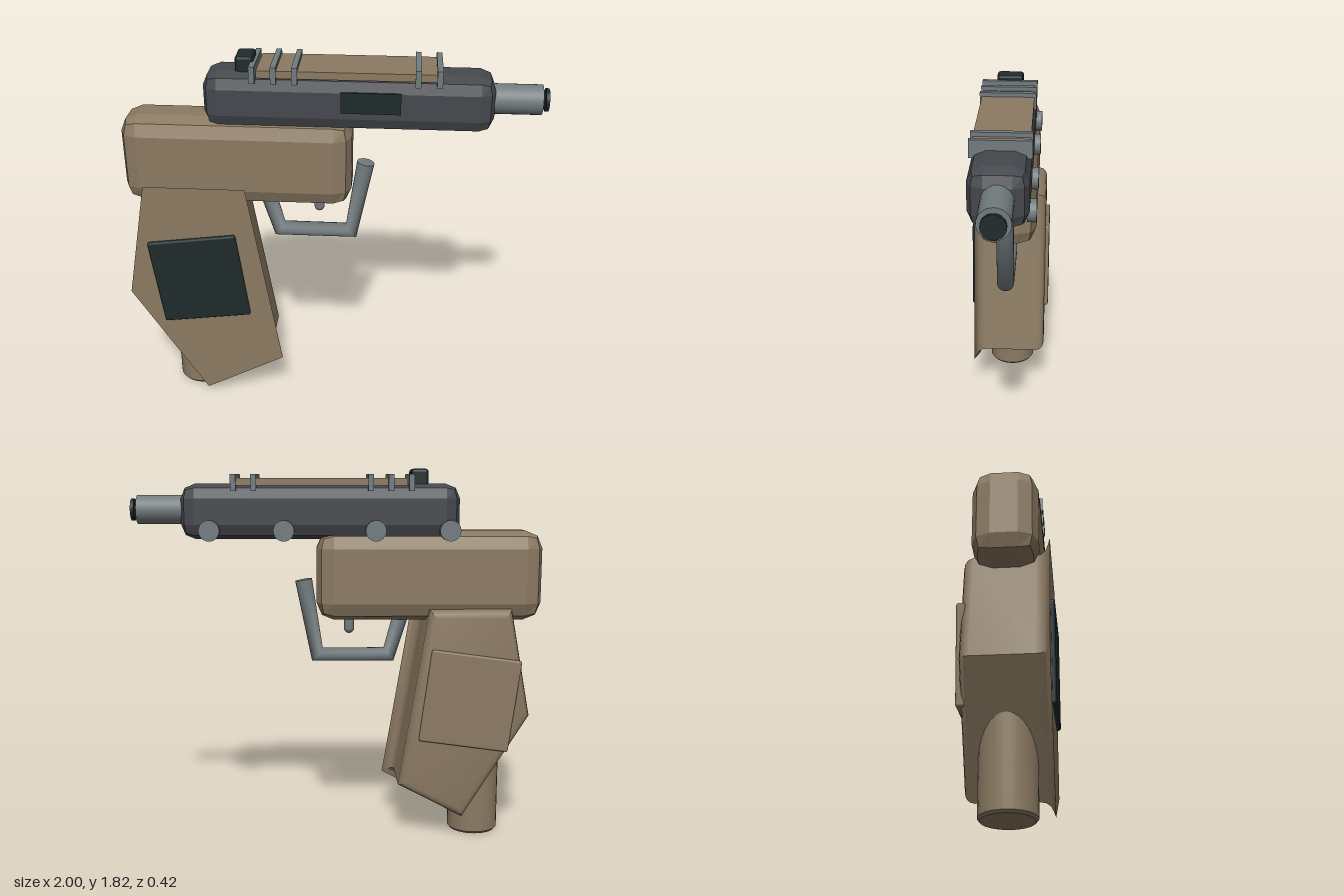
import * as THREE from 'three';
import { toCreasedNormals } from 'three/addons/utils/BufferGeometryUtils.js';
import { RoundedBoxGeometry } from 'three/addons/geometries/RoundedBoxGeometry.js';

const tan = new THREE.MeshStandardMaterial({ color: 0x8b7a62 });
const gunmetal = new THREE.MeshStandardMaterial({ color: 0x45484e });
const steel = new THREE.MeshStandardMaterial({ color: 0x727b7e });
const darkGreen = new THREE.MeshStandardMaterial({ color: 0x1f2b2c });
tan.name = 'tan';
gunmetal.name = 'gunmetal';
steel.name = 'steel';
darkGreen.name = 'darkGreen';

// Guard path: straight pieces with averaged directions at the corners
class BentPath extends THREE.Curve {
  constructor(points) { super(); this.points = points; }
  getPointAt(u) {
    return this.points[Math.round(u * (this.points.length - 1))].clone();
  }
  getTangentAt(u) {
    const p = this.points, n = p.length - 1, i = Math.round(u * n), t = new THREE.Vector3();
    if (i > 0) t.add(p[i].clone().sub(p[i - 1]).normalize());
    if (i < n) t.add(p[i + 1].clone().sub(p[i]).normalize());
    return t.normalize();
  }
}

// Moves every edge of a counter-clockwise outline inwards by d
function inset(points, d) {
  const n = points.length;
  return points.map((p, i) => {
    const a = p.clone().sub(points[(i + n - 1) % n]).normalize();
    const b = points[(i + 1) % n].clone().sub(p).normalize();
    const na = new THREE.Vector2(-a.y, a.x), nb = new THREE.Vector2(-b.y, b.x);
    return na.clone().add(nb).multiplyScalar(d / (1 + na.dot(nb))).add(p);
  });
}

// Grip: one outline swept across z, flared at the front and rounded at the back
function gripGeometry() {
  const outline = [[-0.64, 0.03], [-0.24, 0.24], [-0.4, 1.2], [-0.89, 1.2], [-1, 0.61]]
    .map(([x, y]) => new THREE.Vector2(x, y));
  const sections = [[0.19, 0], [0.181, 0.02], [0.17, 0.038], [0.15, 0.051], [0.125, 0.055],
    [-0.145, 0.055], [-0.167, 0.061], [-0.182, 0.075], [-0.188, 0.095]];
  const n = outline.length, pos = [], idx = [];
  sections.forEach(([z, d]) => inset(outline, d).forEach((p) => pos.push(p.x, p.y, z)));
  for (let k = 0; k < sections.length - 1; k++) {
    for (let i = 0; i < n; i++) {
      const a = k * n + i, b = k * n + (i + 1) % n;
      idx.push(a, a + n, b, b, a + n, b + n);
    }
  }
  const last = (sections.length - 1) * n;
  for (let i = 1; i < n - 1; i++) idx.push(0, i, i + 1, last, last + i + 1, last + i);
  const g = new THREE.BufferGeometry();
  g.setAttribute('position', new THREE.Float32BufferAttribute(pos, 3));
  g.setIndex(idx);
  return toCreasedNormals(g, 0.6);
}

export function createModel() {
  const model = new THREE.Group();
  const add = (name, geometry, material, x = 0, y = 0, z = 0) => {
    const m = new THREE.Mesh(geometry, material);
    m.name = name;
    m.position.set(x, y, z);
    model.add(m);
    return m;
  };
  const box = (w, h, d) => new THREE.BoxGeometry(w, h, d);
  const facetedBox = (w, h, d, r) => {
    const g = new RoundedBoxGeometry(w, h, d, 1, r);
    g.computeVertexNormals();
    return g;
  };

  // Main bodies
  add('frame', facetedBox(1.1, 0.435, 0.29, 0.085), tan, -0.45, 1.302, 0);
  add('upperBody', facetedBox(1.345, 0.265, 0.26, 0.07), gunmetal, 0.08, 1.612, 0);
  add('grip', gripGeometry(), tan);

  // Magazine with a softened bottom edge
  const magazine = [[0, 0], [0.115, 0], [0.125, 0.012], [0.125, 0.55], [0, 0.55]]
    .map(([x, y]) => new THREE.Vector2(x, y));
  add('magazine', toCreasedNormals(new THREE.LatheGeometry(magazine, 32), 0.6), tan, -0.695, 0, 0);

  // Grip panels on both sides
  for (const [name, side, material] of [['leftGripPanel', 1, darkGreen], ['rightGripPanel', -1, tan]]) {
    const panel = add(name, new RoundedBoxGeometry(0.44, 0.455, 0.04, 2, 0.01), material, -0.645, 0.702, side * 0.188);
    panel.rotation.z = 0.133;
  }

  // Barrel and muzzle
  const barrel = add('barrel', new THREE.CylinderGeometry(0.07, 0.07, 0.29, 32), steel, 0.825, 1.62, 0);
  const muzzle = add('muzzle', new THREE.CylinderGeometry(0.053, 0.053, 0.016, 32), darkGreen, 0.992, 1.62, 0);
  barrel.rotation.z = muzzle.rotation.z = -Math.PI / 2;

  // Top cover, its cross bars and the rear sight
  add('topCover', box(0.82, 0.035, 0.25), tan, 0.075, 1.753, 0);
  for (const x of [-0.355, -0.257, -0.16, 0.398, 0.495]) {
    add('crossBar', box(0.026, 0.08, 0.27), steel, x, 1.75, 0);
  }
  add('rearSight', facetedBox(0.085, 0.1, 0.13, 0.014), darkGreen, -0.398, 1.765, 0);

  // Side port
  add('sidePort', box(0.275, 0.1, 0.009), darkGreen, 0.187, 1.63, 0.1335);

  // Round knobs along the right side
  for (const x of [-0.54, -0.185, 0.255, 0.61]) {
    const knob = add('knob', new THREE.CylinderGeometry(0.05, 0.05, 0.04, 24), steel, x, 1.523, -0.138);
    knob.rotation.x = Math.PI / 2;
  }

  // Trigger and guard
  add('trigger', new THREE.CapsuleGeometry(0.025, 0.1, 6, 16), steel, -0.06, 1.085, 0);
  const path = new BentPath([[-0.36, 1.25], [-0.258, 0.903], [0.098, 0.903], [0.165, 1.277]]
    .map(([x, y]) => new THREE.Vector3(x, y, 0)));
  add('triggerGuard', new THREE.TubeGeometry(path, 3, 0.042, 20, false), steel);
  const cap = add('guardCap', new THREE.CircleGeometry(0.042, 20), steel, 0.165, 1.277, 0);
  cap.lookAt(cap.position.clone().add(path.getTangentAt(1)));

  return model;
}
